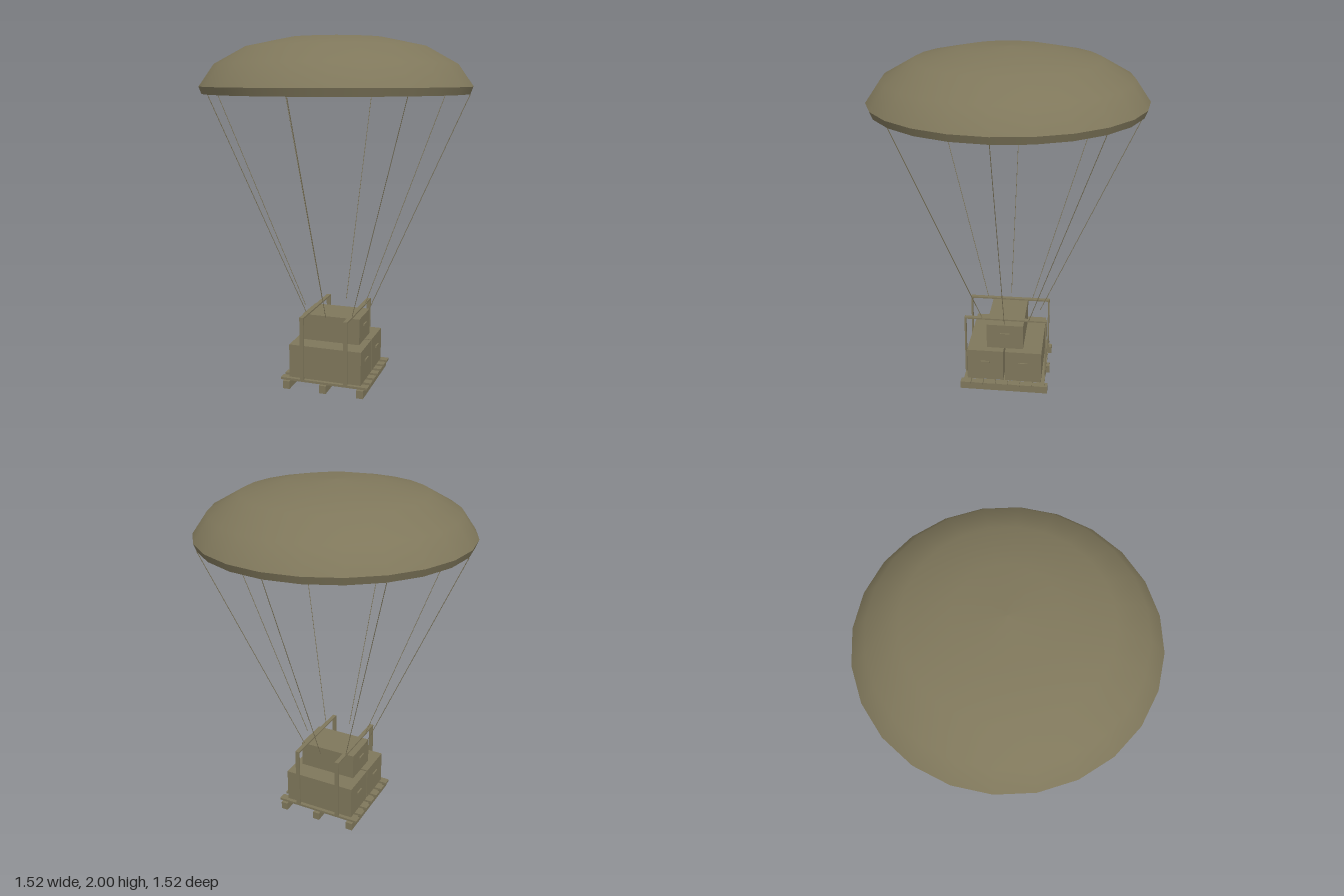
import * as THREE from 'three';

export function createModel() {
  const model = new THREE.Group();
  const olive = new THREE.MeshStandardMaterial({ color: 0x7f775b });
  olive.name = 'olive drab';
  const cloth = new THREE.MeshStandardMaterial({ color: 0x7f775b, side: THREE.DoubleSide });
  cloth.name = 'olive cloth';

  const add = (parent, name, geometry, material = olive) => {
    const mesh = new THREE.Mesh(geometry, material);
    mesh.name = name;
    parent.add(mesh);
    return mesh;
  };
  const box = (parent, name, w, h, d, x, y, z) =>
    add(parent, name, new THREE.BoxGeometry(w, h, d)).position.set(x, y, z);
  const group = (name) => {
    const g = new THREE.Group();
    g.name = name;
    model.add(g);
    return g;
  };
  const lathe = (points) =>
    new THREE.LatheGeometry(points.map(([r, y]) => new THREE.Vector2(r, y)), 24);

  // Canopy: smooth dome with a creased hem turned inward
  const canopy = group('canopy');
  add(canopy, 'dome', lathe([[0.76, 1.72], [0.675, 1.84], [0.503, 1.935], [0.262, 1.985], [0, 2]]), cloth);
  add(canopy, 'hem', lathe([[0.745, 1.68], [0.76, 1.72]]), cloth);

  // Eight suspension lines from the hem to just above the load
  const lines = group('suspensionLines');
  for (let i = 0; i < 8; i++) {
    const a = (i * Math.PI) / 4;
    const top = new THREE.Vector3(Math.cos(a) * 0.745, 1.68, Math.sin(a) * 0.745);
    const bottom = new THREE.Vector3(Math.cos(a) * 0.195, 0.43, Math.sin(a) * 0.195);
    const path = new THREE.LineCurve3(bottom, top);
    add(lines, 'suspensionLine', new THREE.TubeGeometry(path, 1, 0.002, 5));
  }

  // Pallet: three runners under seven slats
  const pallet = group('pallet');
  for (const x of [-0.22, 0, 0.22]) box(pallet, 'runner', 0.04, 0.046, 0.52, x, 0.023, 0);
  for (let i = -3; i <= 3; i++) box(pallet, 'slat', 0.52, 0.013, 0.046, 0, 0.0525, i * 0.073);

  // Crates with a handle on each end
  const crates = group('crates');
  const crate = (w, h, d, y, z) => {
    box(crates, 'crate', w, h, d, 0, y + h / 2, z);
    for (const s of [-1, 1])
      box(crates, 'handle', 0.009, 0.011, 0.055, s * (w / 2 + 0.004), y + h * 0.62, z);
  };
  crate(0.43, 0.196, 0.215, 0.059, 0.1125);
  crate(0.43, 0.196, 0.215, 0.059, -0.1125);
  crate(0.345, 0.153, 0.216, 0.255, 0);

  // Two hoops straddling the load from front to back
  const hoops = group('hoops');
  for (const x of [-0.13, 0.13]) {
    for (const z of [-0.24, 0.24]) box(hoops, 'hoopPost', 0.024, 0.37, 0.009, x, 0.244, z);
    box(hoops, 'hoopBar', 0.024, 0.009, 0.489, x, 0.427, 0);
  }

  return model;
}
